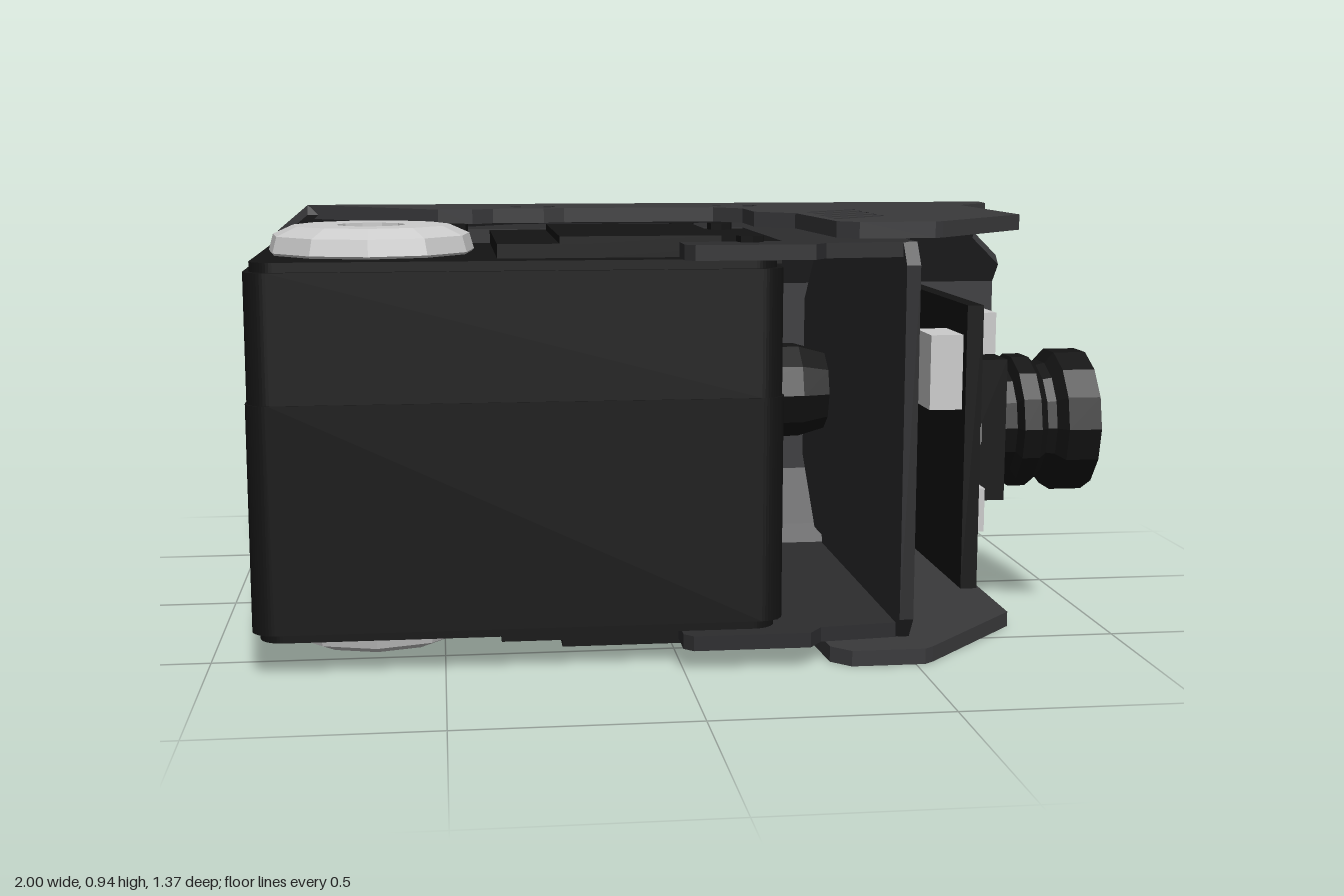
import * as THREE from 'three';

const mat = (color) => new THREE.MeshStandardMaterial({ color, flatShading: true });
const SHELL = mat(0x39393b), BODY = mat(0x131313), BRACKET = mat(0x2c2c2e), GREY = mat(0xcccccc);
const V = (x, y, z) => new THREE.Vector3(x, y, z);

function add(parent, name, geo, material, x = 0, y = 0, z = 0) {
  const m = new THREE.Mesh(geo, material);
  m.name = name;
  m.position.set(x, y, z);
  parent.add(m);
  return m;
}
const box = (p, name, m, x0, x1, y0, y1, z0, z1) =>
  add(p, name, new THREE.BoxGeometry(x1 - x0, y1 - y0, z1 - z0), m, (x0 + x1) / 2, (y0 + y1) / 2, (z0 + z1) / 2);

const poly = (pts) => new THREE.Shape(pts.map(([a, b]) => new THREE.Vector2(a, b)));
const circle = (x, y, r) => new THREE.Path().absarc(x, y, r, 0, Math.PI * 2, true);

// Extrude a shape whose axes are mapped onto ax and ay, starting at origin
function panel(shape, depth, ax, ay, origin) {
  const g = new THREE.ExtrudeGeometry(shape, { depth, bevelEnabled: false, curveSegments: 6 });
  const az = ax.clone().cross(ay);
  return g.applyMatrix4(new THREE.Matrix4().makeBasis(ax, ay, az).setPosition(origin));
}
// Shape in (x, z), hanging down from height y
const flat = (shape, y, t) => panel(shape, t, V(1, 0, 0), V(0, 0, 1), V(0, y, 0));
// Shape in (z, y), running from x1 back to x0
const across = (shape, x0, x1) => panel(shape, x1 - x0, V(0, 0, 1), V(0, 1, 0), V(x1, 0, 0));
// Round solid along x from [radius, x] pairs
const turned = (pts, sides) =>
  new THREE.LatheGeometry(pts.map(([r, x]) => new THREE.Vector2(r, x)), sides).rotateZ(-Math.PI / 2);

function roundRect(x0, x1, y0, y1, r) {
  const s = new THREE.Shape();
  s.absarc(x1 - r, y1 - r, r, 0, Math.PI / 2);
  s.absarc(x0 + r, y1 - r, r, Math.PI / 2, Math.PI);
  s.absarc(x0 + r, y0 + r, r, Math.PI, Math.PI * 1.5);
  s.absarc(x1 - r, y0 + r, r, Math.PI * 1.5, Math.PI * 2);
  return s;
}

// Upper half of everything that mirrors top to bottom
function buildHalf(name) {
  const g = new THREE.Group();
  g.name = name;

  // Cover plate with vent slots and screw holes
  const plate = poly([[-0.82, -0.25], [0.89, -0.25], [0.88, -0.16], [0.785, -0.06], [0.785, 0.41], [0.54, 0.665],
    [0.52, 0.68], [0.36, 0.68], [0.32, 0.64], [0.3, 0.3], [0.22, 0.22], [0.22, 0.06], [0.16, -0.01], [-0.2, -0.01],
    [-0.25, 0.01], [-0.37, 0.01], [-0.42, 0.05], [-0.5, 0.04]]);
  for (let i = 0; i < 5; i++) {
    const z = 0.25 + i * 0.07;
    plate.holes.push(new THREE.Path([[0.335, z], [0.335, z + 0.035], [0.47, z - 0.085], [0.47, z - 0.12]]
      .map(([a, b]) => new THREE.Vector2(a, b))));
  }
  for (const x of [-0.27, 0.225]) {
    plate.holes.push(circle(x, -0.088, 0.055));
    const ring = new THREE.Shape().absarc(x, -0.088, 0.055, 0, Math.PI * 2);
    ring.holes.push(circle(x, -0.088, 0.025));
    add(g, 'screwSeat', flat(ring, 0.457, 0.02), SHELL);
  }
  add(g, 'coverPlate', flat(plate, 0.472, 0.034), SHELL);

  // Sloping panel between the cover plate and the back wall
  const down = V(0, -0.207, -0.205), len = down.length();
  const slope = poly([[-0.82, 0], [-0.9, 0.32], [-0.9, 1], [0.985, 1], [0.985, 0.72], [0.89, 0.35], [0.89, 0]]
    .map(([x, t]) => [x, t * len]));
  down.normalize();
  const out = V(1, 0, 0).cross(down);
  add(g, 'slopePanel', panel(slope, 0.034, V(1, 0, 0), down, V(0, 0.472, -0.25).addScaledVector(out, -0.034)), SHELL);

  // Inner bracket flange, cut away around the actuator
  add(g, 'bracketFlange', flat(poly([[0.48, -0.155], [0.48, 0.62], [0.3, 0.64], [0.27, 0.68], [0.02, 0.68],
    [0, 0.66], [0, 0.58], [0.22, 0.56], [0.22, 0.06], [-0.46, 0.06], [-0.46, -0.02], [-0.3, -0.155]]), 0.427, 0.032), BRACKET);

  // Raised actuator cap, its step and screws
  box(g, 'actuatorCap', BODY, -0.38, 0.22, 0.38, 0.425, 0.06, 0.57);
  box(g, 'actuatorCapStep', BODY, -0.25, 0.09, 0.42, 0.44, 0.1, 0.57);
  for (const [x, z] of [[-0.46, 0.08], [0.07, 0.085], [0.16, 0.09], [0.15, 0.58]])
    add(g, 'screw', new THREE.CylinderGeometry(0.03, 0.03, 0.05, 7), BODY, x, 0.415, z);

  // Output disc with bevelled rim and open bore
  add(g, 'outputDisc', new THREE.LatheGeometry([[0.075, 0.37], [0.2, 0.37], [0.225, 0.4], [0.215, 0.435], [0.17, 0.455],
    [0.075, 0.455], [0.075, 0.37]].map(([r, y]) => new THREE.Vector2(r, y)), 11), GREY, -0.645, 0, 0.345);
  add(g, 'discHub', new THREE.CylinderGeometry(0.078, 0.078, 0.06, 10), BODY, -0.645, 0.405, 0.345);
  return g;
}

// Accessory rail: x slices, taller on the teeth, notched where a bolt pocket passes
function buildRail() {
  const g = new THREE.Group();
  g.name = 'rail';
  const teeth = [[-0.835, -0.7], [-0.565, -0.44], [-0.31, -0.19], [-0.055, 0.06], [0.19, 0.3], [0.435, 0.585]];
  const pockets = [-0.5, 0.4], r = 0.1, steps = 12;
  const cuts = teeth.flat();
  for (const p of pockets)
    for (let i = 0; i <= steps; i++) cuts.push(p - r * Math.cos(Math.PI * i / steps));
  cuts.sort((a, b) => a - b);
  for (let i = 0; i + 1 < cuts.length; i++) {
    const x0 = cuts[i], x1 = cuts[i + 1], mid = (x0 + x1) / 2;
    if (x1 - x0 < 1e-4) continue;
    const tooth = teeth.some(([a, b]) => mid > a && mid < b);
    const top = tooth ? -0.688 : -0.625, half = tooth ? 0.195 : 0.248;
    const p = pockets.find((c) => Math.abs(mid - c) < r);
    const h = p === undefined ? 0 : Math.sqrt(r * r - (mid - p) ** 2);
    const notch = h ? [[top, -h], [-0.51, -h], [-0.51, h], [top, h]] : [];
    add(g, 'railSlice', across(poly([[-0.45, 0.195], [-0.55, 0.195], [-0.61, 0.26], [top, half],
      ...notch.reverse(), [top, -half], [-0.61, -0.26], [-0.55, -0.195], [-0.45, -0.195]]), x0, x1), SHELL);
  }
  return g;
}

// Camera board, its components and the lens, all facing +x
function buildCamera() {
  const g = new THREE.Group();
  g.name = 'camera';
  box(g, 'board', BODY, 0.6, 0.635, -0.315, 0.295, 0.09, 0.655);
  box(g, 'chip', GREY, 0.635, 0.665, 0.19, 0.278, 0.54, 0.645);
  box(g, 'chip', GREY, 0.635, 0.66, -0.015, 0.03, 0.52, 0.58);
  box(g, 'chip', GREY, 0.635, 0.66, -0.2, -0.105, 0.52, 0.615);
  box(g, 'chip', BODY, 0.635, 0.66, 0.07, 0.11, 0.52, 0.58);
  box(g, 'connector', GREY, 0.53, 0.6, 0.07, 0.23, 0.5, 0.63);
  for (const y of [-0.27, 0.25])
    for (const z of [0.14, 0.45])
      add(g, 'boardScrew', turned([[0, 0], [0.025, 0], [0.025, 0.05], [0, 0.05]], 8), BODY, 0.62, y, z);
  box(g, 'lensMount', BODY, 0.635, 0.76, -0.17, 0.15, 0.12, 0.435);
  add(g, 'lensBarrel', turned([[0, 0.7], [0.13, 0.7], [0.13, 0.8], [0.155, 0.81], [0.155, 0.85], [0.135, 0.87],
    [0.14, 0.89], [0.165, 0.91], [0.165, 0.985], [0.115, 0.985], [0.11, 0.97], [0, 0.97]], 14), BODY, 0, -0.013, 0.27);
  add(g, 'lensGlass', turned([[0.112, 0.975], [0.08, 0.988], [0.04, 0.997], [0, 1]], 14), GREY, 0, -0.013, 0.27);
  return g;
}

export function createModel() {
  const root = new THREE.Group();
  root.name = 'cameraUnit';
  const body = new THREE.Group();
  body.name = 'assembly';
  body.position.y = 0.483;
  root.add(body);

  // Mirrored top and bottom
  const lower = buildHalf('lowerHalf');
  lower.scale.y = -1;
  body.add(buildHalf('upperHalf'), lower);

  // Back wall with tapered tab on one end
  add(body, 'backWall', panel(poly([[-1, -0.125], [-0.9, -0.24], [-0.9, -0.265], [0.985, -0.265], [0.985, 0.265],
    [-0.9, 0.265], [-0.9, 0.24], [-1, 0.125]]), 0.034, V(1, 0, 0), V(0, 1, 0), V(0, 0, -0.455)), SHELL);
  body.add(buildRail());

  // Upright wall of the inner bracket
  add(body, 'bracketWall', across(poly([[0.655, -0.38], [0.655, 0.38], [0.62, 0.427], [-0.13, 0.427], [-0.15, 0.375],
    [-0.24, 0.375], [-0.41, 0.21], [-0.41, -0.21], [-0.24, -0.375], [-0.15, -0.375], [-0.13, -0.427], [0.62, -0.427]]),
  0.468, 0.498), BRACKET);

  // Actuator case in stacked sections
  for (const [y0, y1, inset] of [[-0.395, -0.375, 0.015], [-0.375, 0.105, 0], [0.105, 0.375, 0.003], [0.375, 0.395, 0.015]])
    add(body, 'actuatorCase', flat(roundRect(-0.9 + inset, 0.22 - inset, 0.04 + inset, 0.65 - inset, 0.05), y1, y1 - y0), BODY);

  // Lamp head and its rear barrel
  add(body, 'lampHead', turned([[0, 0.46], [0.2, 0.5], [0.222, 0.55], [0.222, 0.62], [0.19, 0.68], [0.14, 0.72],
    [0.12, 0.7], [0, 0.7]], 10), BODY, 0, -0.003, -0.18);
  add(body, 'lampBarrel', turned([[0, 0.1], [0.11, 0.1], [0.12, 0.14], [0.12, 0.4], [0.1, 0.47], [0, 0.47]], 10), BODY, 0, 0, -0.18);

  body.add(buildCamera());
  return root;
}
